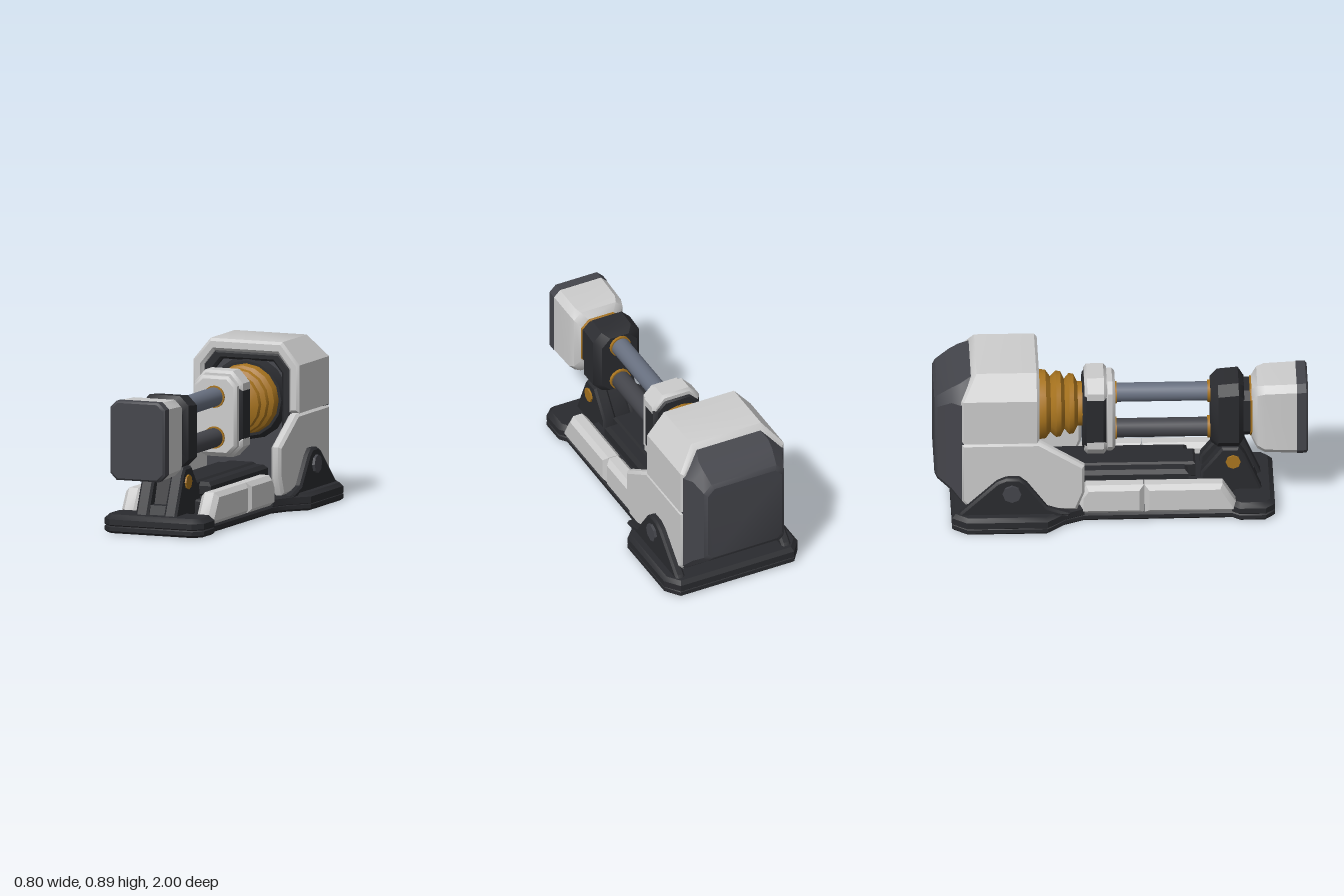
import * as THREE from 'three';
import { toCreasedNormals } from 'three/addons/utils/BufferGeometryUtils.js';

const mat = (color) => new THREE.MeshStandardMaterial({ color });

export function createModel() {
  const root = new THREE.Group();
  const grey = mat(0xcccccc), dark = mat(0x2a2b2f), slate = mat(0x44454b);
  const steel = mat(0x687080), gold = mat(0xa8741f);
  gold.side = THREE.DoubleSide;

  const add = (name, geo, material, crease = 0.6) => {
    const mesh = new THREE.Mesh(toCreasedNormals(geo, crease), material);
    mesh.name = name;
    root.add(mesh);
  };
  const vectors = (pts) => pts.map(([x, y]) => new THREE.Vector2(x, y));
  // Bevelled extrusion that keeps within its outline, spanning 0..depth
  const slab = (pts, depth, bevel, hole) => {
    const shape = new THREE.Shape(vectors(pts));
    if (hole) shape.holes.push(new THREE.Path(vectors(hole)));
    return new THREE.ExtrudeGeometry(shape, {
      depth: depth - 2 * bevel, bevelEnabled: bevel > 0, bevelThickness: bevel,
      bevelSize: bevel, bevelOffset: -bevel, bevelSegments: 1,
    }).translate(0, 0, bevel);
  };
  // Profile in (z, y), extruded across x0..x1
  const sideSlab = (pts, x0, x1, bevel) =>
    slab(pts, x1 - x0, bevel).rotateY(-Math.PI / 2).translate(x1, 0, 0);
  // Plan in (x, z), extruded across y0..y1
  const planSlab = (pts, y0, y1, bevel, hole) =>
    slab(pts, y1 - y0, bevel, hole).rotateX(Math.PI / 2).translate(0, y1, 0);
  const mirrorX = (half) => [...half, ...half.slice().reverse().map(([x, y]) => [-x, y])];
  // Side profile part repeated on both sides
  const pair = (name, pts, x0, x1, bevel, material) => {
    add('left' + name, sideSlab(pts, x0, x1, bevel), material);
    add('right' + name, sideSlab(pts, -x1, -x0, bevel), material);
  };
  // Chamfered rectangle, anticlockwise from the front
  const octagon = (w, y0, y1, c, cb = c) => [
    [w - cb, y0], [w, y0 + cb], [w, y1 - c], [w - c, y1],
    [-w + c, y1], [-w, y1 - c], [-w, y0 + cb], [-w + cb, y0],
  ];
  // Loft of octagons; sections [z, halfWidth, y0, y1, topChamfer, bottomChamfer], front to back
  const loft = (sections) => {
    const pos = [], idx = [], n = 8, last = (sections.length - 1) * n;
    sections.forEach(([z, ...s]) => octagon(...s).forEach(([x, y]) => pos.push(x, y, z)));
    for (let i = 0; i < last; i += n) for (let k = 0; k < n; k++) {
      const a = i + k, b = i + (k + 1) % n;
      idx.push(a, a + n, b, b, a + n, b + n);
    }
    for (let k = 1; k < n - 1; k++) idx.push(0, k, k + 1, last, last + k + 1, last + k);
    const g = new THREE.BufferGeometry();
    g.setAttribute('position', new THREE.Float32BufferAttribute(pos, 3));
    g.setIndex(idx);
    g.computeVertexNormals();
    return g;
  };
  // Cylinder along z
  const rod = (r, z0, z1, y, n = 16) => new THREE.CylinderGeometry(r, r, z1 - z0, n)
    .rotateX(Math.PI / 2).translate(0, y, (z0 + z1) / 2);
  // Cylinder along x
  const bolt = (r, x0, x1, y, z, n = 8) => new THREE.CylinderGeometry(r, r, x1 - x0, n)
    .rotateZ(Math.PI / 2).translate((x0 + x1) / 2, y, z);

  // Base: rim around a slightly recessed underside, with thicker front and rear feet
  const frontEdge = [[0.24, 0.82], [0.29, 0.77], [0.29, 0.63], [0.26, 0.59]];
  const rearEdge = [[0.265, -0.2], [0.31, -0.3], [0.4, -0.4], [0.4, -0.83], [0.34, -0.91]];
  add('baseRim', planSlab(mirrorX([...frontEdge, ...rearEdge]), 0, 0.045, 0.012,
    mirrorX([[0.21, 0.74], [0.21, -0.84]])), dark);
  add('baseFloor', planSlab(mirrorX([[0.24, 0.7], [0.24, -0.6]]), 0.02, 0.06, 0), dark);
  add('frontFoot', planSlab(mirrorX(frontEdge), 0.02, 0.1, 0.025), dark);
  add('rearFoot', planSlab(mirrorX(rearEdge), 0.02, 0.095, 0.02), dark);

  // Central channel between the side rails
  add('channelBlock', planSlab(mirrorX([[0.17, 0.5], [0.17, -0.45]]), 0.03, 0.16, 0.01), dark);
  add('channelDeck', planSlab(mirrorX([[0.15, 0.36], [0.15, -0.4]]), 0.15, 0.235, 0.02), dark);
  add('channelSpine', planSlab(mirrorX([[0.08, 0.4], [0.08, -0.4]]), 0.15, 0.245, 0.012), dark);

  // Side rails in two segments
  pair('FrontRail', [[0.62, 0.04], [0.62, 0.08], [0.54, 0.21], [0.122, 0.21], [0.122, 0.04]],
    0.17, 0.272, 0.025, grey);
  pair('RearRail', [[0.118, 0.04], [0.118, 0.21], [-0.19, 0.21], [-0.23, 0.15], [-0.23, 0.04]],
    0.17, 0.272, 0.025, grey);

  // Housing: arched shell whose rear edge slopes forward at the crown
  const arch = [[0.31, 0.512], [0.31, 0.77], [0.21, 0.89], [-0.21, 0.89], [-0.31, 0.77],
    [-0.31, 0.512], [-0.25, 0.512], [-0.25, 0.745], [-0.185, 0.825], [0.185, 0.825],
    [0.25, 0.745], [0.25, 0.512]];
  const shell = slab(arch, 0.42, 0.015).translate(0, 0, -0.86);
  const p = shell.attributes.position;
  for (let i = 0; i < p.count; i++) if (p.getZ(i) < -0.7) {
    p.setZ(i, p.getZ(i) + 0.07 * THREE.MathUtils.clamp((p.getY(i) - 0.77) / 0.12, 0, 1));
  }
  add('housingArch', shell, grey);
  pair('HousingCheek', [[-0.86, 0.16], [-0.8, 0.095], [-0.24, 0.095], [-0.2, 0.2], [-0.2, 0.36],
    [-0.44, 0.51], [-0.86, 0.51]], 0.25, 0.31, 0.015, grey);
  add('housingCore', loft([
    [-0.5, 0.26, 0.09, 0.84, 0.08, 0.01],
    [-0.78, 0.298, 0.09, 0.878, 0.115, 0.01],
    [-0.86, 0.3, 0.145, 0.835, 0.09, 0.02],
    [-0.91, 0.268, 0.19, 0.806, 0.06, 0.03],
    [-0.985, 0.24, 0.25, 0.752, 0.045, 0.03],
    [-1, 0.222, 0.275, 0.73, 0.04, 0.03],
  ]), slate, 0.5);
  add('housingLiner', slab([[0.25, 0.3], [0.25, 0.745], [0.185, 0.825], [-0.185, 0.825],
    [-0.25, 0.745], [-0.25, 0.3], [-0.2, 0.3], [-0.2, 0.72], [-0.15, 0.78], [0.15, 0.78],
    [0.2, 0.72], [0.2, 0.3]], 0.06, 0.012).translate(0, 0, -0.52), dark);

  // Rear pivot brackets with bolts
  pair('RearBracket', [[-0.88, 0.08], [-0.86, 0.11], [-0.67, 0.29], [-0.62, 0.312], [-0.55, 0.312],
    [-0.51, 0.28], [-0.4, 0.13], [-0.28, 0.09], [-0.28, 0.08]], 0.29, 0.345, 0.012, dark);
  for (const s of [1, -1]) {
    const side = s > 0 ? 'left' : 'right';
    add(side + 'RearBolt', bolt(0.05, s * 0.345 - 0.015, s * 0.345 + 0.015, 0.225, -0.59), slate);
    add(side + 'FrontBolt', bolt(0.04, s * 0.115 - 0.015, s * 0.115 + 0.015, 0.27, 0.6), gold);
  }

  // Front bracket: two lugs with a recessed web between
  pair('FrontLug', [[0.76, 0.08], [0.66, 0.31], [0.63, 0.35], [0.54, 0.35], [0.51, 0.31],
    [0.43, 0.21], [0.42, 0.08]], 0.045, 0.12, 0.012, dark);
  add('frontLugWeb', sideSlab([[0.74, 0.08], [0.715, 0.15], [0.665, 0.15], [0.61, 0.32],
    [0.56, 0.32], [0.47, 0.2], [0.46, 0.08]], -0.05, 0.05, 0), dark);

  // Bellows between housing and flange
  const folds = [[0.19, -0.52], [0.19, -0.44], [0.185, -0.4], [0.15, -0.375], [0.18, -0.345],
    [0.175, -0.32], [0.135, -0.3], [0.165, -0.275], [0.16, -0.25], [0.12, -0.23], [0.12, -0.18]];
  add('bellows', new THREE.LatheGeometry(vectors(folds), 16)
    .rotateX(Math.PI / 2).translate(0, 0.575, 0), gold);
  add('bellowsSeat', new THREE.CylinderGeometry(0.205, 0.23, 0.06, 16)
    .rotateX(Math.PI / 2).translate(0, 0.575, -0.48), dark);

  // Flange holding the rods at the rear
  add('flangePlate', slab(octagon(0.125, 0.325, 0.75, 0.05), 0.055, 0.015).translate(0, 0, -0.085), grey);
  add('flangeBody', slab(octagon(0.138, 0.33, 0.75, 0.06), 0.13, 0.02).translate(0, 0, -0.205), dark);
  add('flangeTopCap', slab([[0.14, 0.67], [0.14, 0.71], [0.08, 0.775], [-0.08, 0.775],
    [-0.14, 0.71], [-0.14, 0.67]], 0.12, 0.015).translate(0, 0, -0.195), grey);
  add('flangeBottomCap', slab([[0.14, 0.41], [-0.14, 0.41], [-0.14, 0.37], [-0.08, 0.31],
    [0.08, 0.31], [0.14, 0.37]], 0.12, 0.015).translate(0, 0, -0.195), grey);

  // Twin rods with collars
  [['upper', 0.64, steel], ['lower', 0.42, slate]].forEach(([name, y, m]) => {
    add(name + 'Rod', rod(0.052, -0.1, 0.55, y), m);
    add(name + 'RearCollar', rod(0.06, -0.05, -0.02, y), gold);
    add(name + 'FrontCollar', rod(0.06, 0.465, 0.5, y), gold);
  });

  // Front clamp, neck and head
  add('frontClamp', loft([
    [0.66, 0.11, 0.38, 0.7, 0.05], [0.63, 0.138, 0.345, 0.735, 0.05],
    [0.52, 0.138, 0.345, 0.725, 0.05], [0.48, 0.105, 0.36, 0.7, 0.05],
  ]), dark);
  add('headNeck', slab(octagon(0.115, 0.41, 0.68, 0.04), 0.13, 0.01).translate(0, 0, 0.61), dark);
  add('headNeckRing', slab(octagon(0.118, 0.4, 0.69, 0.045), 0.02, 0.005).translate(0, 0, 0.69), gold);
  add('headBlock', loft([
    [0.94, 0.158, 0.32, 0.742, 0.035], [0.77, 0.155, 0.325, 0.735, 0.035],
    [0.73, 0.145, 0.34, 0.725, 0.04], [0.7, 0.115, 0.39, 0.69, 0.04],
  ]), grey);
  add('headFace', loft([
    [1, 0.15, 0.328, 0.735, 0.035], [0.99, 0.16, 0.318, 0.745, 0.037],
    [0.94, 0.16, 0.318, 0.745, 0.037],
  ]), slate);
  return root;
}
